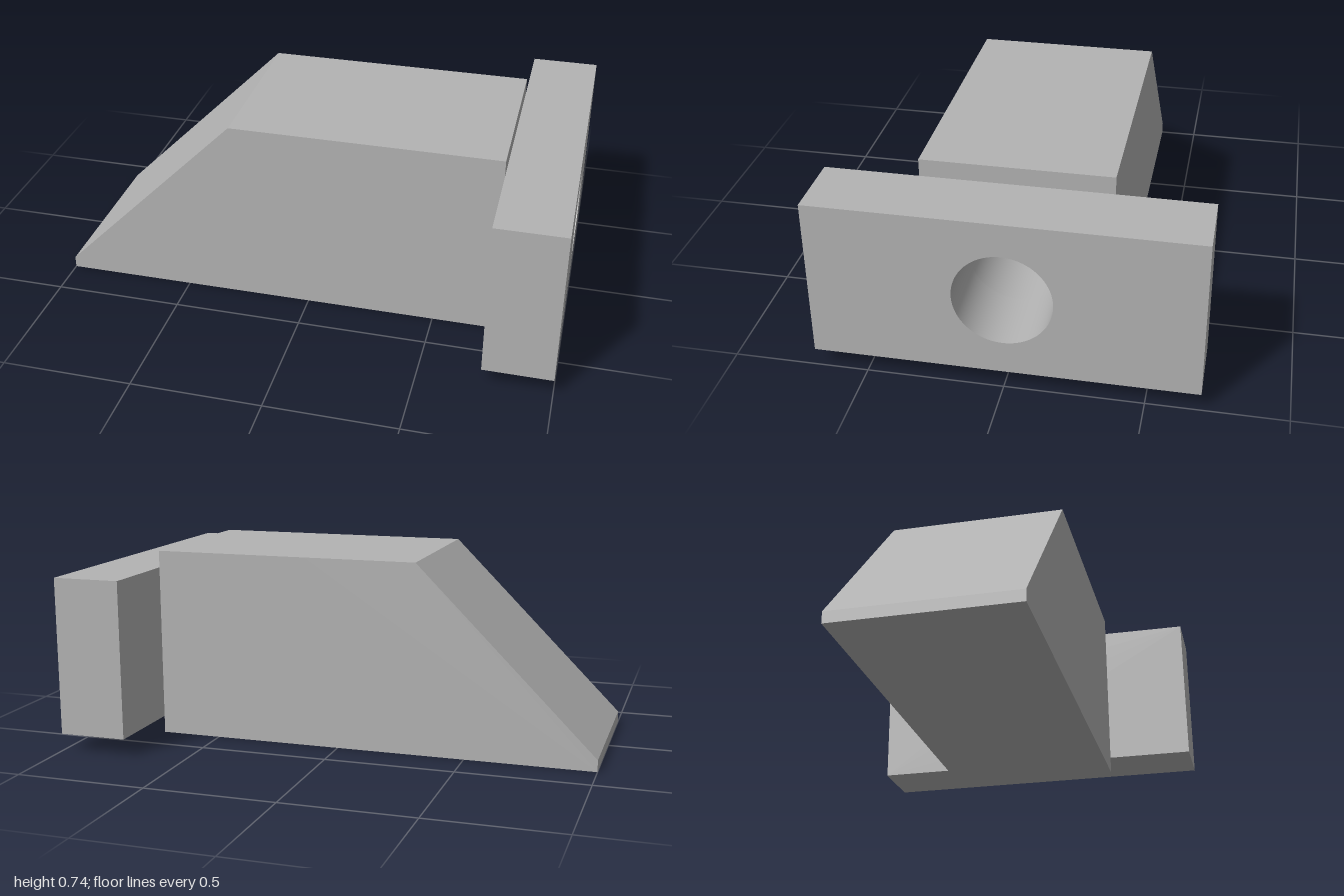
import * as THREE from 'three';
import { toCreasedNormals } from 'three/addons/utils/BufferGeometryUtils.js';

const HALF_WIDTH = 0.347, HEIGHT = 0.74, MID_Y = 0.37;
const BORE_RADIUS = 0.178, BORE_END = 0.13, BLOCK_END = 0.737;

// Rectangular slab across x, pierced by the round bore
function boredSlab(x0, x1, halfZ, y0, y1) {
  const shape = new THREE.Shape([
    new THREE.Vector2(-halfZ, y0), new THREE.Vector2(halfZ, y0),
    new THREE.Vector2(halfZ, y1), new THREE.Vector2(-halfZ, y1),
  ]);
  const hole = new THREE.Path();
  hole.absarc(0, MID_Y, BORE_RADIUS, 0, Math.PI * 2, true);
  shape.holes.push(hole);
  const geo = new THREE.ExtrudeGeometry(shape, { depth: x1 - x0, bevelEnabled: false, curveSegments: 48 });
  geo.rotateY(Math.PI / 2).translate(x0, 0, 0);
  return toCreasedNormals(geo, 0.5);
}

export function createModel() {
  const model = new THREE.Group();
  model.name = 'latchBolt';
  const metal = new THREE.MeshStandardMaterial({ color: 0xb3b3b3 });
  metal.name = 'grey metal';

  const add = (name, geometry) => {
    const mesh = new THREE.Mesh(geometry, metal);
    mesh.name = name;
    model.add(mesh);
  };

  // Sloping nose, solid up to the bottom of the bore
  const profile = new THREE.Shape([
    new THREE.Vector2(-1, 0), new THREE.Vector2(BORE_END, 0),
    new THREE.Vector2(BORE_END, HEIGHT), new THREE.Vector2(-0.307, HEIGHT),
    new THREE.Vector2(-1, 0.045),
  ]);
  const nose = new THREE.ExtrudeGeometry(profile, { depth: HALF_WIDTH * 2, bevelEnabled: false });
  nose.translate(0, 0, -HALF_WIDTH);
  add('slopedNose', nose);

  // Rear of the block and the wide end plate, both bored
  add('boltBody', boredSlab(BORE_END, BLOCK_END, HALF_WIDTH, 0, HEIGHT));
  add('endPlate', boredSlab(BLOCK_END, 1, 0.694, 0.067, 0.674));
  return model;
}
